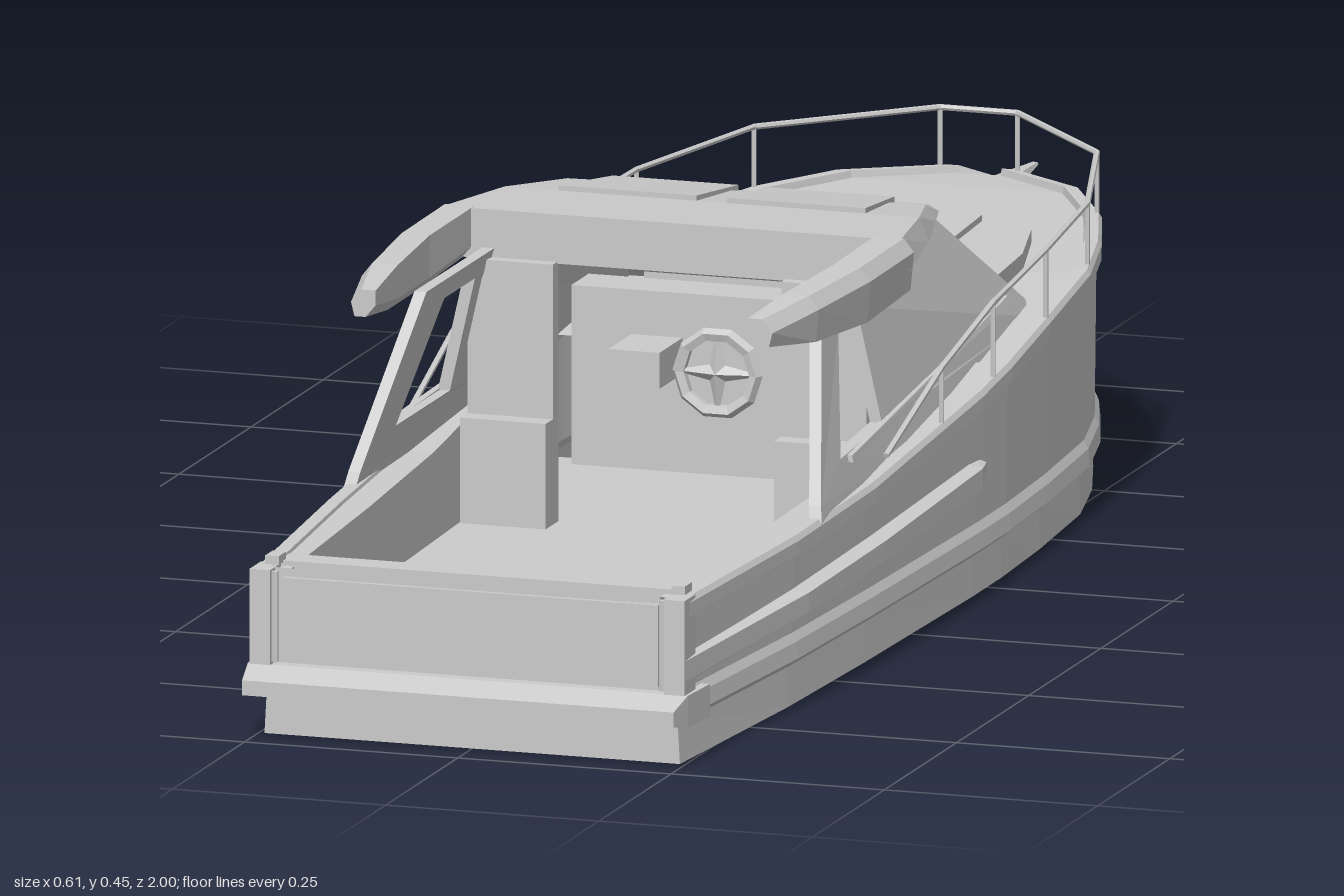
import * as THREE from 'three';

const mat = new THREE.MeshStandardMaterial({ color: 0xcccccc, flatShading: true, side: THREE.DoubleSide });

// Hull stations from stern to bow: z, half width, sheer height
const stations = [
  [0.95, 0.255, 0.19], [0.64, 0.278, 0.196], [0.4, 0.287, 0.205], [0.05, 0.295, 0.235],
  [-0.05, 0.295, 0.247], [-0.2, 0.289, 0.265], [-0.38, 0.275, 0.28], [-0.5, 0.247, 0.285],
  [-0.62, 0.207, 0.288], [-0.73, 0.145, 0.288], [-0.81, 0.045, 0.284],
];

// Half width and sheer height interpolated at any z
function hullAt(z) {
  let i = 0;
  while (i < stations.length - 2 && stations[i + 1][0] > z) i++;
  const a = stations[i], b = stations[i + 1];
  const t = THREE.MathUtils.clamp((z - a[0]) / (b[0] - a[0]), 0, 1);
  return { w: a[1] + (b[1] - a[1]) * t, y: a[2] + (b[2] - a[2]) * t };
}

// Skin through cross-sections that all have the same number of points
function loft(rings, closed = false, caps = false) {
  const pos = [], n = rings[0].length;
  for (let i = 0; i < rings.length - 1; i++) {
    for (let j = 0; j < (closed ? n : n - 1); j++) {
      const k = (j + 1) % n, a = rings[i], b = rings[i + 1];
      pos.push(...a[j], ...b[j], ...b[k], ...a[j], ...b[k], ...a[k]);
    }
  }
  if (caps) {
    const first = rings[0], last = rings[rings.length - 1];
    for (let j = 1; j < n - 1; j++) {
      pos.push(...first[0], ...first[j], ...first[j + 1]);
      pos.push(...last[0], ...last[j + 1], ...last[j]);
    }
  }
  const g = new THREE.BufferGeometry();
  g.setAttribute('position', new THREE.Float32BufferAttribute(pos, 3));
  g.computeVertexNormals();
  return g;
}

// Mirrors a half section [x, y] list about x = 0 at a given z
const mirrored = (half, z) => [
  ...half.map(([x, y]) => [x, y, z]),
  ...half.slice().reverse().map(([x, y]) => [-x, y, z]),
];

// Rectangular section at z
const rect = (x0, x1, y0, y1, z) => [[x0, y0, z], [x1, y0, z], [x1, y1, z], [x0, y1, z]];

export function createModel() {
  const boat = new THREE.Group();
  boat.name = 'motorBoat';
  const add = (name, geo, parent = boat) => {
    const m = new THREE.Mesh(geo, mat);
    m.name = name;
    parent.add(m);
    return m;
  };
  const box = (name, x0, x1, y0, y1, z0, z1) => {
    const m = add(name, new THREE.BoxGeometry(x1 - x0, y1 - y0, z1 - z0));
    m.position.set((x0 + x1) / 2, (y0 + y1) / 2, (z0 + z1) / 2);
    return m;
  };
  const rod = (name, a, b, r, parent) => {
    const d = b.clone().sub(a);
    const m = add(name, new THREE.CylinderGeometry(r, r, d.length(), 6), parent);
    m.position.copy(a).addScaledVector(d, 0.5);
    m.quaternion.setFromUnitVectors(new THREE.Vector3(0, 1, 0), d.normalize());
  };

  // Hull with a low chine ridge, a stepped rim and a slightly raked stem
  const hullRings = stations.map(([z, w, y]) => {
    const ring = mirrored([
      [w - 0.022, y - 0.01], [w - 0.02, y], [w - 0.004, y], [w, y - 0.006], [w, y - 0.022], [w - 0.006, y - 0.026],
      [w - 0.008, 0.085], [w - 0.003, 0.075], [w - 0.001, 0.056], [w - 0.014, 0.045], [w * 0.955, 0],
    ], z);
    const lean = z < -0.6 ? ((-0.6 - z) / 0.21) * 0.03 : 0;
    return ring.map(([x, py]) => [x, py, z + lean * (1 - py / 0.28)]);
  });
  add('hull', loft(hullRings, false, true));

  // Side decks and the sunken cockpit floor in one section
  const well = [0.94, 0.64, 0.4, 0.26, 0.05, -0.05].map((z) => {
    const { w, y } = hullAt(z);
    const xi = 0.237 - Math.max(0, z - 0.26) * 0.03;
    return mirrored([[w - 0.02, y - 0.004], [xi, y - 0.004], [xi, 0.1]], z);
  });
  add('cockpit', loft(well));
  const fore = stations.filter((s) => s[0] <= -0.05);
  add('foredeck', loft(fore.map(([z, w, y]) => [[w - 0.02, y - 0.008, z], [-w + 0.02, y - 0.008, z]])));

  // Transom, swim platform
  box('transom', -0.235, 0.235, 0.08, 0.192, 0.89, 0.925);
  box('transomPanel', -0.22, 0.22, 0.087, 0.18, 0.945, 0.956);
  add('swimPlatform', loft([
    [0.9, 0.262, 0.045, 0.082], [0.965, 0.258, 0.045, 0.082], [1.0, 0.253, 0.053, 0.07],
  ].map(([z, x, y0, y1]) => rect(-x, x, y0, y1, z)), true, true));

  for (const s of [1, -1]) {
    // Stern corner pieces, slim posts and cleats
    const x0 = s * 0.243;
    box('sternCorner', x0 - 0.012, x0 + 0.012, 0.082, 0.19, 0.93, 0.968);
    rod('sternPost', new THREE.Vector3(s * 0.227, 0.085, 0.962), new THREE.Vector3(s * 0.227, 0.188, 0.962), 0.004);
    box('cleat', s * 0.238 - 0.008, s * 0.238 + 0.008, 0.19, 0.2, 0.915, 0.94);

    // Rub rail along the aft side
    add('rubRail', loft([[0.965, 0.0, 0.094, 0.125], [0.64, 0.012, 0.106, 0.136],
      [0.4, 0.013, 0.115, 0.145], [0.08, 0.01, 0.128, 0.158], [0.04, 0, 0.135, 0.156]].map(([z, out, y0, y1]) => {
      const w = hullAt(z).w;
      return [[s * (w - 0.012), y0 - 0.004, z], [s * (w + out), y0 + 0.004, z],
        [s * (w + out), y1 - 0.004, z], [s * (w - 0.012), y1, z]];
    }), true, true));
  }

  // Cabin side: leaning wall with an open quarter window ahead of a raked strut
  const sideX = (z, y) => {
    const t = (z + 0.26) / 0.82;
    return 0.24 + 0.035 * t - (y - 0.25 + 0.05 * t) * (0.37 - 0.21 * t);
  };
  const toV = (pts) => pts.map(([z, y]) => new THREE.Vector2(z, y));
  const wall = new THREE.Shape(toV([
    [0.57, 0.19], [0.56, 0.212], [0.445, 0.395], [0.2, 0.41], [-0.05, 0.407], [-0.16, 0.336], [-0.265, 0.268],
    [-0.26, 0.25], [0, 0.225], [0.26, 0.205],
  ]));
  wall.holes.push(new THREE.Path(toV([[0.465, 0.245], [0.3, 0.25], [0.3, 0.38], [0.385, 0.375]])));
  const sill = new THREE.Shape(toV([[0.44, 0.236], [0.1, 0.256], [-0.21, 0.278], [-0.2, 0.286], [0.1, 0.264], [0.44, 0.244]]));
  const sidePanel = (name, shape, s, depth, offset) => {
    const g = new THREE.ExtrudeGeometry(shape, { depth, bevelEnabled: false });
    const p = g.attributes.position;
    for (let i = 0; i < p.count; i++) {
      const z = p.getX(i), y = p.getY(i);
      p.setXYZ(i, s * (sideX(z, y) + p.getZ(i) + offset), y, z);
    }
    g.computeVertexNormals();
    add(name, g);
  };
  for (const s of [1, -1]) {
    sidePanel('cabinSide', wall, s, 0.014, -0.01);
    sidePanel('windowSill', sill, s, 0.008, 0.002);
  }
  add('windscreen', loft([[-0.262, 0.262], [-0.16, 0.335], [-0.05, 0.407]].map(([z, y]) => {
    const x = sideX(z, y) + 0.003;
    return [[x, y, z], [-x, y, z]];
  })));

  // Interior: rear bulkheads, dash, seats and wheel
  for (const s of [1, -1]) {
    const c = s * 0.184;
    box('bulkhead', c - 0.05, c + 0.05, 0.1, 0.396, 0.255, 0.275);
    box('bulkheadStep', c - 0.05, c + 0.05, 0.1, 0.22, 0.275, 0.3);
    box('locker', s * 0.105 - 0.03, s * 0.105 + 0.03, 0.217, 0.258, 0.0, 0.08);
  }
  box('dash', -0.212, 0.212, 0.1, 0.304, -0.08, -0.02);
  const wheel = new THREE.Group();
  wheel.name = 'steeringWheel';
  wheel.position.set(0, 0.245, 0.1);
  boat.add(wheel);
  add('wheelRim', new THREE.TorusGeometry(0.045, 0.008, 5, 10), wheel);
  for (let i = 0; i < 4; i++) {
    const spoke = add('wheelSpoke', new THREE.ConeGeometry(0.011, 0.053, 4), wheel);
    const a = (i * Math.PI) / 2;
    spoke.rotation.z = a;
    spoke.position.set(-Math.sin(a) * 0.0265, Math.cos(a) * 0.0265, 0);
  }

  // Roof slab with two aft wings
  add('roof', loft([
    [-0.105, 0.19, 0.402, 0.406], [0.0, 0.222, 0.406, 0.43], [0.12, 0.255, 0.4, 0.444], [0.26, 0.28, 0.394, 0.45],
  ].map(([z, w, y0, y1]) => mirrored([[w - 0.03, y0], [w, (y0 + y1) / 2 - 0.005], [w - 0.012, y1]], z)), true, true));
  for (const s of [1, -1]) {
    add('roofWing', loft([
      [0.25, 0.235, 0.281, 0.392, 0.45], [0.4, 0.236, 0.281, 0.387, 0.449],
      [0.54, 0.226, 0.268, 0.394, 0.446], [0.64, 0.218, 0.247, 0.408, 0.439],
    ].map(([z, x0, x1, y0, y1]) => [
      [s * (x0 + 0.012), y0, z], [s * (x1 - 0.004), y0, z], [s * x1, y1 - 0.015, z],
      [s * (x1 - 0.012), y1, z], [s * x0, y1, z], [s * x0, y0 + 0.014, z],
    ]), true, true));
    // Roof hatches follow the slope of the roof
    add('roofHatch', loft([[-0.025, 0.018, 0.165, 0.431], [0.12, 0.018, 0.18, 0.45]].map(([z, x0, x1, y]) =>
      rect(s * x0, s * x1, y - 0.015, y, z)), true, true));
  }

  // Raised foredeck plate and hatch, given by half outlines [x, z]
  const plate = (name, half, y0, y1) => {
    const pts = [...half, ...half.slice().reverse().map(([x, z]) => [-x, z])];
    const shape = new THREE.Shape(pts.map(([x, z]) => new THREE.Vector2(x, -z)));
    const g = new THREE.ExtrudeGeometry(shape, { depth: y1 - y0, bevelEnabled: false });
    g.rotateX(-Math.PI / 2);
    add(name, g).position.y = y0;
  };
  plate('foredeckTrunk', [[0.205, -0.25], [0.195, -0.38], [0.165, -0.5], [0.125, -0.59], [0.085, -0.628]], 0.25, 0.292);
  plate('foredeckHatch', [[0.085, -0.272], [0.112, -0.3], [0.1, -0.52], [0.085, -0.56], [0.05, -0.575]], 0.28, 0.299);

  // Bow spike
  add('bowSpike', loft([
    [-0.77, 0.046, 0.196, 0.257], [-0.83, 0.034, 0.204, 0.257], [-0.88, 0.02, 0.22, 0.256],
    [-0.94, 0.011, 0.233, 0.253], [-1.0, 0.004, 0.243, 0.249],
  ].map(([z, w, y0, y1]) => [[0, y0, z], [w, y0 + (y1 - y0) * 0.6, z], [w * 0.7, y1, z],
    [-w * 0.7, y1, z], [-w, y0 + (y1 - y0) * 0.6, z]]), true, true));

  // Guard rail on both sides, joined at the bow
  const railing = new THREE.Group();
  railing.name = 'guardRail';
  boat.add(railing);
  const railPts = [[0.35, 0.225], [0.17, 0.287], [0.0, 0.325], [-0.2, 0.341], [-0.4, 0.35], [-0.62, 0.356], [-0.805, 0.35]];
  for (const s of [1, -1]) {
    const top = railPts.map(([z, y]) => new THREE.Vector3(s * (hullAt(z).w - 0.006), y, z));
    top.forEach((p, i) => {
      if (i) {
        rod('railBar', top[i - 1], p, 0.0035, railing);
        rod('railPost', new THREE.Vector3(p.x, hullAt(p.z).y - 0.005, p.z), p, 0.003, railing);
      }
    });
  }
  const bow = hullAt(-0.805).w - 0.006;
  rod('railBowBar', new THREE.Vector3(-bow, 0.35, -0.805), new THREE.Vector3(bow, 0.35, -0.805), 0.0035, railing);

  return boat;
}
